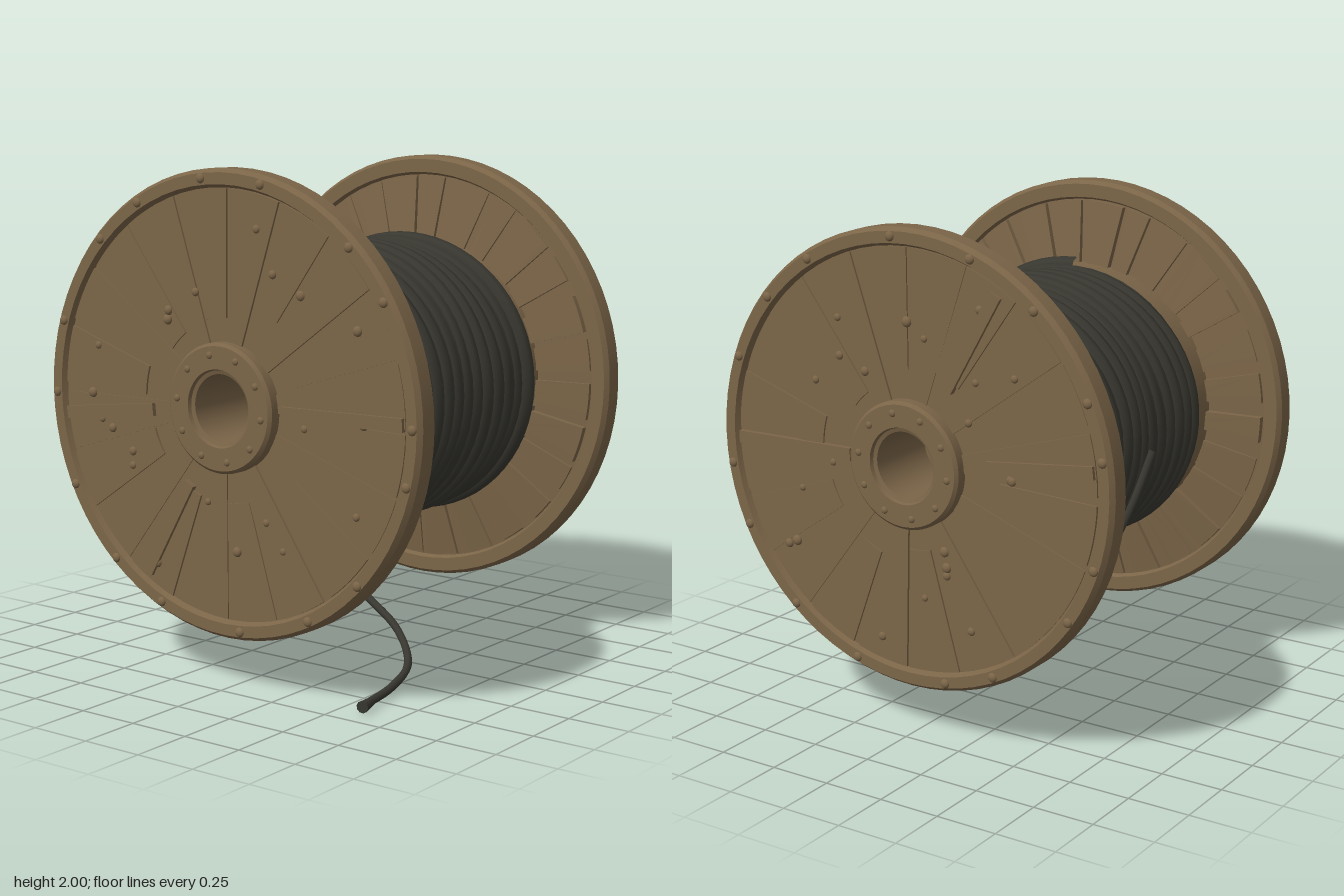
import * as THREE from 'three';
import { toCreasedNormals } from 'three/addons/utils/BufferGeometryUtils.js';

const CENTRE_Y = 1.1;

// Small seeded generator for the uneven timber
function seeded(seed) {
  let s = seed;
  return () => (s = (s * 16807) % 2147483647) / 2147483647;
}

// Wound cable: a helix, slightly oval and uneven, leaning at its ends
class WindingCurve extends THREE.Curve {
  constructor(turns) {
    super();
    this.turns = turns;
  }
  getPoint(t, target = new THREE.Vector3()) {
    const a = t * this.turns * Math.PI * 2;
    const c = Math.cos(a), s = Math.sin(a);
    const edge = Math.max(0, Math.abs(t - 0.5) * 2 - 0.88) / 0.12;
    const r = 0.537 + 0.018 * edge + 0.004 * Math.sin(a * 0.37 + t * 40);
    const lean = 0.03 * t * s - 0.025 * (1 - t) * s * s;
    const x = -0.5 + t * 1.0 + lean + 0.009 * Math.sin(a * 2.13) * Math.sin(Math.PI * t);
    return target.set(x, c * r, s * r * 1.04);
  }
}

// Radial board with its base at height y0, rising by slope along the radius
function boardGeometry(r0, r1, a0, a1, y0, depth, slope = 0) {
  const shape = new THREE.Shape();
  shape.absarc(0, 0, r1, a0, a1, false);
  shape.absarc(0, 0, r0, a1, a0, true);
  const g = new THREE.ExtrudeGeometry(shape, { depth, bevelEnabled: false, curveSegments: 5 });
  g.rotateX(-Math.PI / 2);
  const p = g.attributes.position;
  for (let i = 0; i < p.count; i++) {
    const r = Math.hypot(p.getX(i), p.getZ(i));
    p.setY(i, p.getY(i) + y0 + slope * (r - r0));
  }
  g.computeVertexNormals();
  return g;
}

// One end disc; local +y points outward along the axle
function createFlange(wood, seed) {
  const rnd = seeded(seed);
  const flange = new THREE.Group();
  const add = (name, geometry) => {
    const m = new THREE.Mesh(geometry, wood);
    m.name = name;
    flange.add(m);
    return m;
  };

  // Disc, rim, hub ring and axle hole in one turned profile
  const profile = [
    [0.5, 0.59], [0.82, 0.63], [0.83, 0.61], [0.885, 0.61], [0.9, 0.63],
    [0.9, 0.7], [0.885, 0.72], [0.84, 0.72], [0.828, 0.695], [0.25, 0.695],
    [0.25, 0.738], [0.238, 0.75], [0.15, 0.75], [0.145, 0.735], [0.13, 0.73],
    [0.13, 0.42], [0, 0.42],
  ].map(([r, y]) => new THREE.Vector2(r, y));
  add('disc', toCreasedNormals(new THREE.LatheGeometry(profile, 72), 0.5));

  // Boards on the outer face
  const outerCount = 20;
  const step = (Math.PI * 2) / outerCount;
  for (let i = 0; i < outerCount; i++) {
    const a = i * step + (rnd() - 0.5) * 0.04;
    const r0 = i % 2 ? 0.25 : 0.3 + rnd() * 0.12;
    add('outerBoard', boardGeometry(r0, 0.825, a + 0.008, a + step * 0.93, 0.69, 0.008 + rnd() * 0.007));
  }

  // Boards on the inner face, thicker toward the drum
  const innerCount = 28;
  for (let i = 0; i < innerCount; i++) {
    const a = (i / innerCount) * Math.PI * 2;
    const w = 0.12 + rnd() * 0.07;
    const y = 0.563 + rnd() * 0.022;
    add('innerBoard', boardGeometry(0.53, 0.815, a, a + w, y, 0.035, 0.14));
  }

  // Raised battens on the outer face
  for (const [a, r0, r1] of [[2.62, 0.36, 0.8], [-1.55, 0.27, 0.82], [1.69, 0.36, 0.82]]) {
    const batten = add('batten', new THREE.BoxGeometry(r1 - r0, 0.03, 0.05));
    const r = (r0 + r1) / 2;
    batten.position.set(Math.cos(a) * r, 0.703, -Math.sin(a) * r);
    batten.rotation.y = a;
  }

  // Bolt heads on the hub, the rim and the boards
  const dome = new THREE.SphereGeometry(1, 10, 5, 0, Math.PI * 2, 0, Math.PI / 2);
  const bolt = (r, a, y, size) => {
    const b = add('bolt', dome);
    b.position.set(Math.cos(a) * r, y, -Math.sin(a) * r);
    b.scale.set(size, size * 0.7, size);
  };
  for (let i = 0; i < 10; i++) bolt(0.205, (i / 10) * Math.PI * 2 + 0.2, 0.748, 0.015);
  for (let i = 0; i < 16; i++) bolt(0.865, (i / 16) * Math.PI * 2 + rnd() * 0.2, 0.718, 0.02);
  for (let i = 0; i < 22; i++) bolt(0.33 + rnd() * 0.42, i * 2.4 + rnd(), 0.702, 0.014 + rnd() * 0.008);
  return flange;
}

export function createModel() {
  const wood = new THREE.MeshStandardMaterial({ color: 0x7b6548 });
  wood.name = 'weathered wood';
  const rubber = new THREE.MeshStandardMaterial({ color: 0x383730 });
  rubber.name = 'dark cable';
  const model = new THREE.Group();
  model.name = 'cableReel';

  const spool = new THREE.Group();
  spool.name = 'spool';
  spool.position.y = CENTRE_Y;
  model.add(spool);

  // End discs
  for (const side of [1, -1]) {
    const flange = createFlange(wood, side > 0 ? 71 : 1409);
    flange.name = side > 0 ? 'leftFlange' : 'rightFlange';
    flange.rotation.z = -side * Math.PI / 2;
    spool.add(flange);

    // Bare end of the drum
    const drum = new THREE.Mesh(new THREE.CylinderGeometry(0.56, 0.56, 0.17, 48, 1, true), wood);
    drum.name = 'drumEnd';
    drum.rotation.z = Math.PI / 2;
    drum.scale.z = 1.04;
    drum.position.x = side * 0.535;
    spool.add(drum);
  }

  // Lower cable layer that closes the gaps between the turns
  const layer = new THREE.Mesh(new THREE.CylinderGeometry(0.562, 0.562, 0.98, 48, 1, true), rubber);
  layer.name = 'lowerCableLayer';
  layer.rotation.z = Math.PI / 2;
  layer.scale.z = 1.04;
  spool.add(layer);

  // Wound cable
  const winding = new THREE.Mesh(new THREE.TubeGeometry(new WindingCurve(14.5), 900, 0.042, 8), rubber);
  winding.name = 'woundCable';
  spool.add(winding);

  // Loose tail, leaving at the back and running under the drum to the front
  const path = new THREE.CatmullRomCurve3([
    [-0.01, 1.08, -0.65], [0.07, 0.88, -0.61], [0.15, 0.65, -0.53], [0.19, 0.5, -0.46],
    [0.225, 0.38, -0.36], [0.19, 0.29, -0.17], [0.11, 0.2, 0.08], [0, 0.13, 0.3],
    [-0.18, 0.06, 0.48], [-0.4, 0.035, 0.56], [-0.64, 0.028, 0.6],
  ].map((p) => new THREE.Vector3(...p)));
  const tail = new THREE.Mesh(new THREE.TubeGeometry(path, 90, 0.016, 8), rubber);
  tail.name = 'looseTail';
  model.add(tail);

  // Thicker cut end
  const tip = new THREE.Mesh(new THREE.CylinderGeometry(0.024, 0.016, 0.08, 10), rubber);
  tip.name = 'tailTip';
  tip.position.set(-0.615, 0.027, 0.597);
  tip.quaternion.setFromUnitVectors(new THREE.Vector3(0, 1, 0), path.getTangent(1));
  model.add(tip);

  return model;
}
